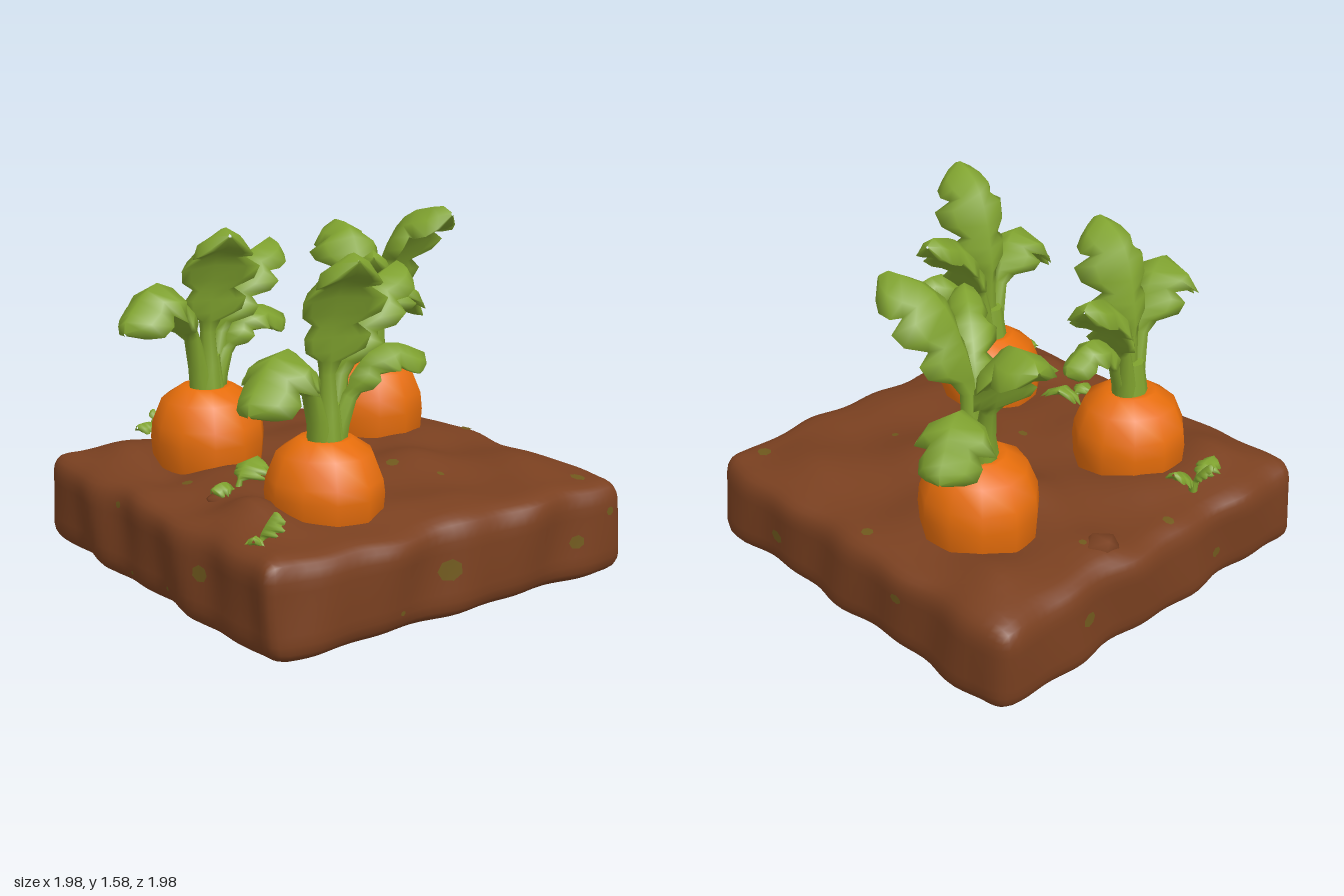
import * as THREE from 'three';
import { mergeVertices } from 'three/addons/utils/BufferGeometryUtils.js';

const mat = (name, color, side = THREE.FrontSide) => {
  const m = new THREE.MeshStandardMaterial({ color, side });
  m.name = name;
  return m;
};
const V = (x, y, z) => new THREE.Vector3(x, y, z);
const clamp = THREE.MathUtils.clamp;

// carrot centres: x, z, top height, radius
const CARROTS = [
  { x: -0.39, z: 0.41, top: 0.8, r: 0.265 },
  { x: 0.53, z: 0.4, top: 0.76, r: 0.255 },
  { x: -0.36, z: -0.5, top: 0.82, r: 0.265 },
];

// soil bed dimensions: half width, height, edge rounding
const HALF = 0.97, H = 0.43, R = 0.09;

// heaps and hollows of earth: x, z, height, radius
const HEAPS = [
  [0.45, 0.74, 0.05, 0.14], [-0.62, 0.74, 0.03, 0.15], [0.2, -0.28, 0.04, 0.2], [-0.82, -0.23, 0.03, 0.12],
  [-0.3, -0.2, 0.04, 0.15], [0.6, -0.7, 0.025, 0.2], [-0.7, -0.75, 0.03, 0.18], [0.15, 0.55, 0.02, 0.15],
  [-0.24, 0.74, -0.04, 0.14], [0.83, 0.4, -0.035, 0.16],
];

// moves a point of a plain box onto the lumpy, rounded soil surface
function soilPoint(p) {
  const q = V(clamp(p.x, -HALF + R, HALF - R), clamp(p.y, R, H - R), clamp(p.z, -HALF + R, HALF - R));
  const d = p.clone().sub(q);
  if (d.length() > 1e-6) p.copy(q).addScaledVector(d.normalize(), R);
  const { x, y, z } = p;
  // lumpy side walls
  const edge = (v) => clamp((Math.abs(v) - 0.75) / 0.2, 0, 1) * Math.sign(v);
  const wave = (a, s) => 0.01 * Math.sin(a * 17 + s + y * 3) + 0.012 * Math.sin(a * 8.3 + s * 2 + y * 6);
  p.x += edge(x) * wave(z, x > 0 ? 1 : 3.2);
  p.z += edge(z) * wave(x, z > 0 ? 2.1 : 0.4);
  // soft waves on top, heaps and a low ring of earth around each carrot
  let lift = 0.01 * Math.sin(x * 10 + z * 4) + 0.01 * Math.sin(z * 13 - x * 6 + 1);
  for (const c of CARROTS) {
    const k = (Math.hypot(x - c.x, z - c.z) - 0.3) / 0.13;
    lift += 0.018 * Math.exp(-k * k);
  }
  for (const [hx, hz, h, r] of HEAPS) lift += h * Math.exp(-((x - hx) ** 2 + (z - hz) ** 2) / (r * r));
  const inner = clamp((HALF - Math.max(Math.abs(x), Math.abs(z))) / 0.25, 0, 1);
  p.y += Math.max(0, (y - 0.25) / (H - 0.25)) * (lift * (0.5 + 0.5 * inner) + 0.02 * inner);
  return p;
}

function deform(geometry, fn) {
  const pos = geometry.attributes.position, v = V(0, 0, 0);
  for (let i = 0; i < pos.count; i++) {
    fn(v.fromBufferAttribute(pos, i));
    pos.setXYZ(i, v.x, v.y, v.z);
  }
  geometry.deleteAttribute('uv');
  geometry.deleteAttribute('normal');
  const merged = mergeVertices(geometry, 1e-4);
  merged.computeVertexNormals();
  return merged;
}

// half widths along a leaf: stalk first, then three pairs of lobes
const LEAF_PROFILE = [
  [0, 0], [0.15, 0], [0.32, 0], [0.38, 0.3], [0.43, 0.74], [0.5, 0.82], [0.55, 0.54], [0.61, 0.95],
  [0.7, 1.03], [0.76, 0.63], [0.82, 0.78], [0.9, 0.72], [0.96, 0.48], [1, 0.04],
];

// puffy lobed leaf swept from a base point, outwards by dx, dz through three heights;
// lean is how far along the stalk top already stands
function leafGeometry([bx, by, bz], [dx, dz, h1, h2, h3, W, lean = 0.14], stalk = 0.058) {
  const at = (f, y) => V(bx + dx * f, y, bz + dz * f);
  const curve = new THREE.CatmullRomCurve3([at(0, by), at(lean, h1), at(lean + 0.4, h2), at(1, h3)]);
  const out = V(dx, 0, dz).normalize(), side = V(0, 1, 0).cross(out);
  const N = 8, pos = [], idx = [];
  LEAF_PROFILE.forEach(([t, k], i) => {
    const c = curve.getPointAt(t), T = curve.getTangentAt(t), n = T.clone().cross(side);
    const blade = t > 0.35;
    const w = blade ? Math.max(W * k, 0.006) : stalk * (1 - t * 1.2);
    const thick = blade ? Math.min(0.75 * stalk, w) : w;
    for (let j = 0; j < N; j++) {
      const a = (j / N) * Math.PI * 2, cs = Math.cos(a), e = blade ? cs * cs * w : 0;
      const p = c.clone().addScaledVector(side, cs * w)
        .addScaledVector(n, Math.sin(a) * thick - 0.6 * e)
        .addScaledVector(T, t < 0.95 ? 0.15 * e : 0);
      pos.push(p.x, p.y, p.z);
      if (i < LEAF_PROFILE.length - 1) {
        const A = i * N + j, B = i * N + ((j + 1) % N);
        idx.push(A, B, B + N, A, B + N, A + N);
      }
    }
  });
  const g = new THREE.BufferGeometry();
  g.setAttribute('position', new THREE.Float32BufferAttribute(pos, 3));
  g.setIndex(idx);
  g.computeVertexNormals();
  return g;
}

// leaves per carrot: dx, dz, three heights, half width, lean
const LEAVES = [
  [[0.27, 0.05, 1.14, 1.46, 1.53, 0.18, -0.05], [-0.15, -0.46, 1.03, 1.31, 1.4, 0.14],
    [0.18, 0.49, 1.04, 1.28, 1.13, 0.18], [-0.02, -0.41, 0.93, 1.1, 1.03, 0.1]],
  [[0.28, 0.06, 1.14, 1.46, 1.54, 0.18, -0.05], [-0.13, -0.48, 1.03, 1.31, 1.41, 0.14],
    [0.21, 0.49, 0.95, 1.15, 0.97, 0.18], [0.1, -0.41, 0.9, 1.09, 1.03, 0.1]],
  [[0.38, -0.16, 1.14, 1.49, 1.55, 0.19, 0.06], [-0.42, -0.1, 1.04, 1.38, 1.4, 0.18, 0.08],
    [-0.25, -0.43, 0.95, 1.13, 0.97, 0.17], [0.36, 0.25, 1.04, 1.3, 1.38, 0.12]],
];

// seedlings: base point and leaves
const SPROUTS = [
  [[-0.8, 0.43, 0.4], [[-0.02, -0.17, 0.49, 0.56, 0.6, 0.065], [0.02, 0.17, 0.48, 0.53, 0.53, 0.065],
    [-0.07, 0.04, 0.49, 0.54, 0.58, 0.035]]],
  [[0.15, 0.43, 0.6], [[-0.05, -0.15, 0.5, 0.56, 0.57, 0.11], [0.01, 0.13, 0.46, 0.5, 0.48, 0.06]]],
  [[0.7, 0.4, 0.85], [[0.02, -0.08, 0.44, 0.5, 0.55, 0.065], [0.04, 0.05, 0.42, 0.46, 0.46, 0.04]]],
];

// moss flecks: face (normal axis and sign), two coordinates on it, radius
const FLECKS = [
  ['z', 1, 0.44, 0.25, 0.045], ['z', 1, -0.27, 0.35, 0.02], ['z', 1, 0.17, 0.1, 0.014], ['z', 1, -0.13, 0.08, 0.012],
  ['x', 1, 0.08, 0.23, 0.06], ['x', 1, -0.65, 0.2, 0.04], ['x', 1, -0.85, 0.31, 0.025], ['x', 1, 0.33, 0.1, 0.014],
  ['z', -1, 0.5, 0.2, 0.04], ['z', -1, -0.35, 0.3, 0.03], ['x', -1, -0.45, 0.25, 0.04], ['x', -1, 0.4, 0.18, 0.03],
  ['y', 1, 0.82, -0.79, 0.04], ['y', 1, 0.27, -0.16, 0.035], ['y', 1, 0.48, -0.27, 0.02], ['y', 1, -0.89, 0.13, 0.03],
  ['y', 1, -0.06, -0.88, 0.03], ['y', 1, 0.06, 0.17, 0.025], ['y', 1, -0.1, 0.7, 0.03], ['y', 1, -0.78, -0.3, 0.02],
];

function fleckGeometry([axis, sign, a, b, r]) {
  const g = new THREE.CircleGeometry(r, 7);
  const push = V(0, 0, 0);
  push[axis] = sign * 0.006;
  return deform(g, (v) => {
    const u = a + v.x, w = b + v.y * 0.8;
    if (axis === 'y') v.set(u, H, w);
    else if (axis === 'x') v.set(sign * HALF, w, u);
    else v.set(u, w, sign * HALF);
    soilPoint(v).add(push);
  });
}

export function createModel() {
  const model = new THREE.Group();
  model.name = 'carrotPatch';
  const soil = mat('soilBrown', 0x7a4020);
  const orange = mat('carrotOrange', 0xe86e0b);
  const green = mat('leafGreen', 0x80a32f);
  const moss = mat('mossOlive', 0x70591d, THREE.DoubleSide);
  const add = (parent, name, geometry, material) => {
    const m = new THREE.Mesh(geometry, material);
    m.name = name;
    parent.add(m);
    return m;
  };

  // soil bed
  const box = new THREE.BoxGeometry(2 * HALF, H, 2 * HALF, 42, 10, 42).translate(0, H / 2, 0);
  add(model, 'soilBed', deform(box, soilPoint), soil);

  // loose clods
  for (const [x, z, s] of [[-0.82, -0.23, 0.09], [0.16, 0.7, 0.06]]) {
    const clod = add(model, 'clod', deform(new THREE.IcosahedronGeometry(s, 0), () => {}), soil);
    clod.position.set(x, 0.44, z);
    clod.scale.y = 0.6;
  }

  // moss flecks on the soil
  FLECKS.forEach((f) => add(model, 'mossFleck', fleckGeometry(f), moss));

  // carrots with their leaves
  CARROTS.forEach((c, i) => {
    const plant = new THREE.Group();
    plant.name = 'carrotPlant';
    plant.position.set(c.x, 0, c.z);
    model.add(plant);
    const profile = [[0.7, 0.25], [0.96, 0.42], [1, 0.62 * c.top + 0.06], [0.97, c.top - 0.17],
      [0.8, c.top - 0.06], [0.45, c.top], [0.25, c.top - 0.01], [0, c.top - 0.03]];
    const root = new THREE.LatheGeometry(profile.map(([r, y]) => new THREE.Vector2(r * c.r, y)), 11);
    add(plant, 'carrotRoot', deform(root, (v) => {
      const k = 1 + 0.025 * Math.sin(3 * Math.atan2(v.z, v.x) + i * 2);
      v.x *= k;
      v.z *= k;
    }), orange);
    const collar = new THREE.CylinderGeometry(0.06, 0.085, 0.17, 9).translate(0, c.top + 0.055, 0);
    add(plant, 'leafCollar', collar, green);
    LEAVES[i].forEach((l) => {
      const len = Math.hypot(l[0], l[1]);
      const base = [(l[0] / len) * 0.035, c.top - 0.04, (l[1] / len) * 0.035];
      add(plant, 'carrotLeaf', leafGeometry(base, l), green);
    });
  });

  // seedlings
  for (const [base, leaves] of SPROUTS) {
    const sprout = new THREE.Group();
    sprout.name = 'seedling';
    model.add(sprout);
    leaves.forEach((l) => add(sprout, 'seedlingLeaf', leafGeometry(base, l, 0.02), green));
  }
  return model;
}
